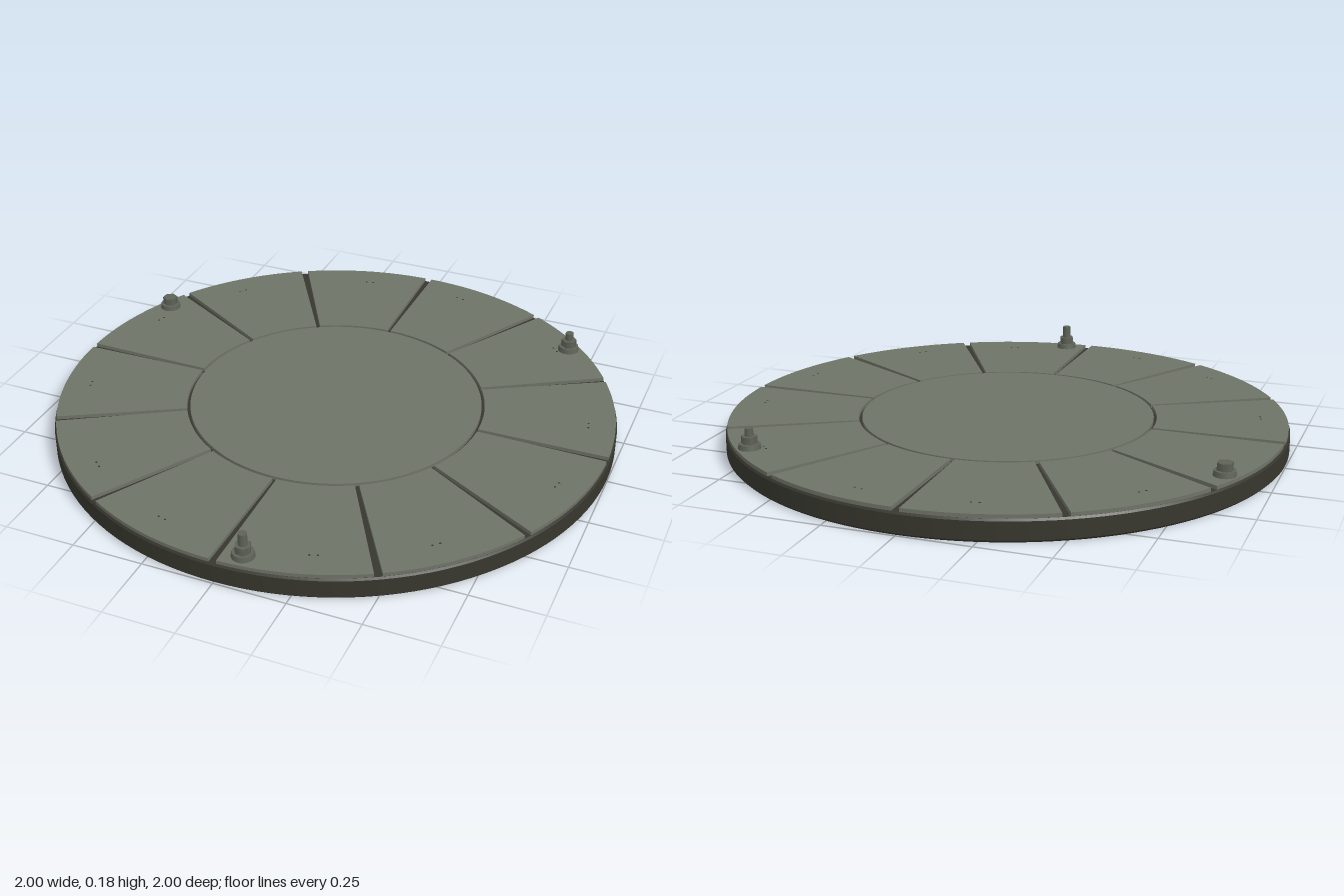
import * as THREE from 'three';
import { toCreasedNormals } from 'three/addons/utils/BufferGeometryUtils.js';

const TILE_BOTTOM = 0.07, TOP = 0.09;

export function createModel() {
  const group = new THREE.Group();
  const material = (name, color) => {
    const m = new THREE.MeshStandardMaterial({ color });
    m.name = name;
    return m;
  };
  const stone = material('grey green stone', 0x6e7367);
  const dark = material('dark underlay', 0x37372e);
  const metal = material('dull metal', 0x5e6257);

  const add = (parent, name, geometry, mat, x = 0, y = 0, z = 0) => {
    const mesh = new THREE.Mesh(geometry, mat);
    mesh.name = name;
    mesh.position.set(x, y, z);
    parent.add(mesh);
    return mesh;
  };

  // Solid disc with softly chamfered lower and upper edges
  const profile = [[0, 0], [0.992, 0], [1, 0.008], [1, 0.07], [0.995, 0.077], [0, 0.077]]
    .map(([r, y]) => new THREE.Vector2(r, y));
  add(group, 'base', toCreasedNormals(new THREE.LatheGeometry(profile, 128), 0.5), dark);

  // Round centre slab
  add(group, 'centreSlab', new THREE.CylinderGeometry(0.522, 0.522, TOP - TILE_BOTTOM, 96),
    stone, 0, (TOP + TILE_BOTTOM) / 2, 0);

  // Twelve wedge tiles separated by tapering grooves
  const gap = 0.0135, step = Math.PI / 6;
  const wedge = new THREE.Shape();
  wedge.absarc(0, 0, 0.994, gap, step - gap, false);
  wedge.absarc(0, 0, 0.533, step - gap, gap, true);
  wedge.closePath();
  const tileGeometry = toCreasedNormals(new THREE.ExtrudeGeometry(wedge, {
    depth: TOP - TILE_BOTTOM, bevelEnabled: false, curveSegments: 14,
  }).rotateX(-Math.PI / 2), 0.5);
  const pitGeometry = new THREE.CylinderGeometry(0.004, 0.004, 0.001, 6);
  for (let i = 0; i < 12; i++) {
    const tile = new THREE.Group();
    tile.name = 'tile' + (i + 1);
    tile.rotation.y = i * step;
    add(tile, 'slab', tileGeometry, stone, 0, TILE_BOTTOM, 0);
    // A pair of tiny pits near the rim
    const a = step * (0.35 + 0.3 * ((i * 5) % 12) / 12);
    for (const d of [0, 0.03]) {
      add(tile, 'pit', pitGeometry, dark, 0.9 * Math.cos(a + d), TOP, -0.9 * Math.sin(a + d));
    }
    group.add(tile);
  }

  // Bolts: washer, hexagonal nut and an optional stud
  const washer = new THREE.CylinderGeometry(0.036, 0.039, 0.018, 20);
  const nut = new THREE.CylinderGeometry(0.028, 0.028, 0.026, 6);
  const bolts = [[-0.87, -0.38, 0], [0.08, 0.94, 0.045], [0.68, -0.66, 0.029]];
  bolts.forEach(([x, z, stud], i) => {
    const bolt = new THREE.Group();
    bolt.name = 'bolt' + (i + 1);
    bolt.position.set(x, TOP, z);
    bolt.rotation.y = i * 0.4;
    add(bolt, 'washer', washer, metal, 0, 0.009, 0);
    add(bolt, 'nut', nut, metal, 0, 0.031, 0);
    if (stud) {
      add(bolt, 'stud', new THREE.CylinderGeometry(0.015, 0.015, stud, 12), metal,
        0, 0.043 + stud / 2, 0);
    }
    group.add(bolt);
  });

  return group;
}
